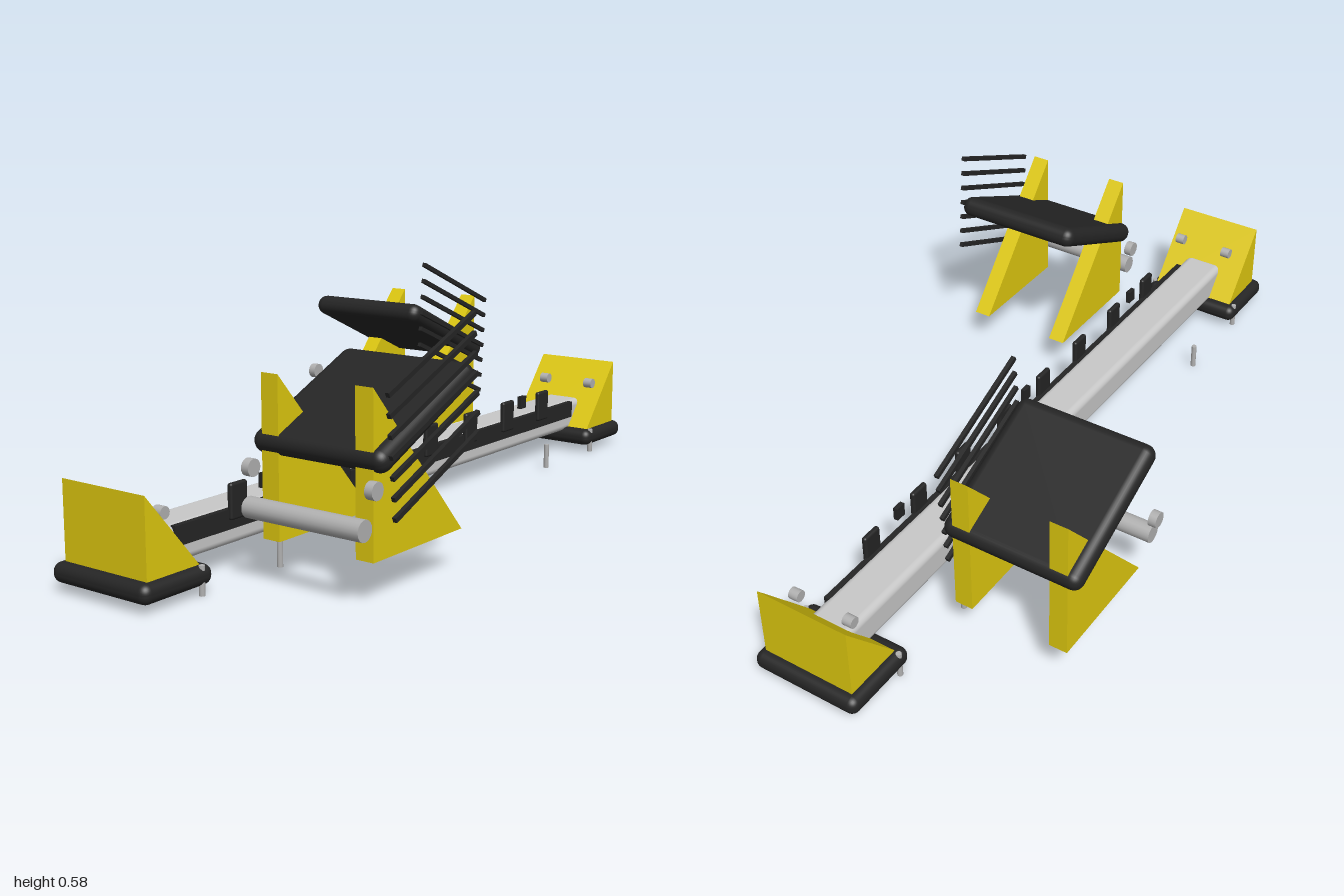
import * as THREE from 'three';
import { RoundedBoxGeometry } from 'three/addons/geometries/RoundedBoxGeometry.js';

const material = (name, color) => {
  const m = new THREE.MeshStandardMaterial({ color });
  m.name = name;
  return m;
};

export function createModel() {
  const yellow = material('yellow', 0xdec80f);
  const black = material('black', 0x252525);
  const silver = material('silver', 0xc8c8c8);
  const steel = material('steel', 0xb0b0b0);

  const model = new THREE.Group();
  model.name = 'pedalBar';

  const add = (parent, name, geometry, mat, x, y, z) => {
    const mesh = new THREE.Mesh(geometry, mat);
    mesh.name = name;
    mesh.position.set(x, y, z);
    parent.add(mesh);
    return mesh;
  };
  const rounded = (w, h, d, r) => new RoundedBoxGeometry(w, h, d, 4, r);
  const rodZ = (r, length) => new THREE.CylinderGeometry(r, r, length, 20).rotateX(Math.PI / 2);

  // Triangular prism: upright side at xOuter, foot running to xInner, centred on z
  const wedge = (xOuter, xInner, yLow, yHigh, depth) => {
    const shape = new THREE.Shape();
    shape.moveTo(xOuter, yLow);
    shape.lineTo(xInner, yLow);
    shape.lineTo(xOuter, yHigh);
    shape.closePath();
    return new THREE.ExtrudeGeometry(shape, { depth, bevelEnabled: false }).translate(0, 0, -depth / 2);
  };

  // Main beam with its front strip
  add(model, 'beam', rounded(1.8, 0.087, 0.112, 0.018), silver, 0, 0.0985, 0);
  add(model, 'frontStrip', new THREE.BoxGeometry(1.665, 0.046, 0.014), black, 0, 0.118, 0.055);

  // Row of tabs and small sensors on the strip
  for (let i = 0; i < 8; i++) {
    add(model, 'tab', rounded(0.055, 0.084, 0.014, 0.006), black, -0.64 + i * 0.185, 0.158, 0.063);
  }
  for (const x of [-0.548, 0, 0.548]) {
    add(model, 'sensor', new THREE.BoxGeometry(0.028, 0.034, 0.012), black, x, 0.185, 0.062);
  }

  // Ends: padded base, yellow wedge, bolts and pins
  for (const side of [-1, 1]) {
    const end = new THREE.Group();
    end.name = side > 0 ? 'leftEnd' : 'rightEnd';
    model.add(end);
    add(end, 'basePad', rounded(0.205, 0.046, 0.285, 0.021), black, side * 0.8975, 0.043, -0.004);
    add(end, 'endWedge', wedge(side * 0.975, side * 0.818, 0.06, 0.247, 0.243), yellow, 0, 0, -0.002);
    for (const z of [-0.067, 0.083]) {
      add(end, 'bolt', rodZ(0.014, 0.025), steel, side * 0.895, 0.19, z);
    }
    for (const z of [-0.137, 0.129]) {
      for (const x of [0.576, 0.826]) {
        add(end, 'pin', new THREE.CylinderGeometry(0.007, 0.007, 0.067, 12), steel, side * x, 0.0335, z);
      }
    }
  }

  // Pedals: tilted plate, two brackets, side rails, roller and knobs
  const tilt = THREE.MathUtils.degToRad(24.5);
  const addPedal = (name, side, x, z) => {
    const pedal = new THREE.Group();
    pedal.name = name;
    pedal.position.set(x, 0, z);
    model.add(pedal);

    add(pedal, 'plate', rounded(0.372, 0.053, 0.356, 0.025), black, 0, 0.375, 0).rotation.z = -side * tilt;
    for (const dz of [-0.126, 0.126]) {
      add(pedal, 'bracket', wedge(side * 0.165, -side * 0.155, 0.095, 0.46, 0.046), yellow, 0, 0, dz);
    }
    for (let i = -3; i <= 3; i++) {
      const rail = add(pedal, 'sideRail', new THREE.BoxGeometry(0.334, 0.011, 0.01), black,
        side * i * 0.004, 0.383 + i * 0.0437, 0.185);
      rail.rotation.z = -side * THREE.MathUtils.degToRad(23);
    }
    add(pedal, 'roller', rodZ(0.024, 0.312), steel, -0.2, 0.172, -0.002);
    for (const dz of [-0.178, 0.154]) {
      add(pedal, 'knob', rodZ(0.02, 0.02), steel, -0.17, 0.25, dz);
    }
  };
  addPedal('rightPedal', -1, -0.508, 0.316);
  addPedal('leftPedal', 1, 0.483, -0.317);

  // Wind the prisms outward whichever way they face
  return model;
}
